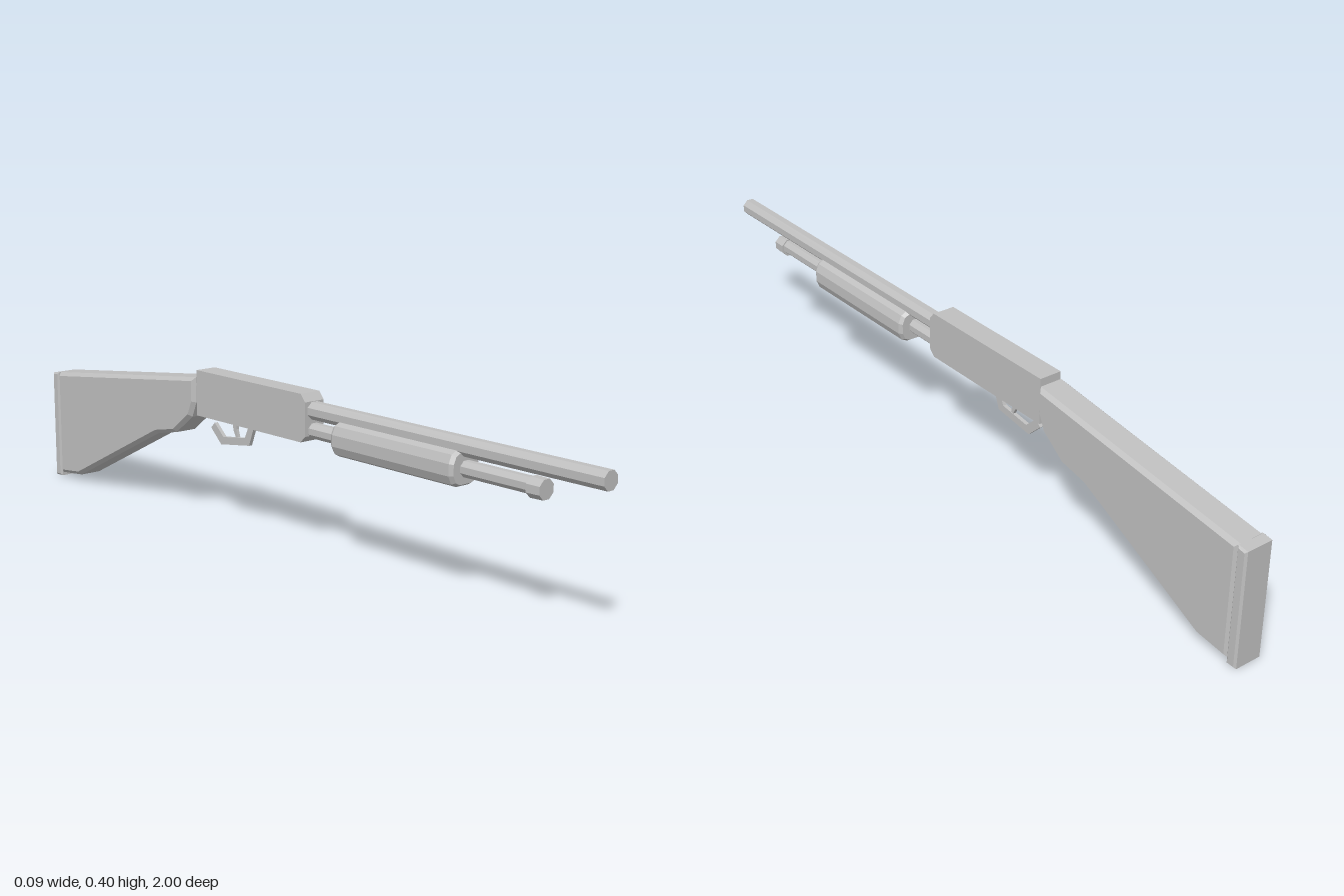
import * as THREE from 'three';

const grey = new THREE.MeshStandardMaterial({ color: 0xbfbfbf, flatShading: true });
grey.name = 'plain grey';

function mesh(name, geometry) {
  const m = new THREE.Mesh(geometry, grey);
  m.name = name;
  return m;
}

// Side profile of [z, y] points, extruded across x and centred, with an optional chamfer
function sidePlate(name, points, width, bevel = 0) {
  const shape = new THREE.Shape(points.map(([z, y]) => new THREE.Vector2(z, y)));
  const depth = width - 2 * bevel;
  const g = new THREE.ExtrudeGeometry(shape, {
    depth, bevelEnabled: bevel > 0, bevelThickness: bevel, bevelSize: bevel,
    bevelOffset: -bevel, bevelSegments: 1,
  });
  g.translate(0, 0, -depth / 2);
  g.rotateY(-Math.PI / 2);
  return mesh(name, g);
}

// Octagonal rod along z, flat side up; sizes are half-widths across the flats
function rod(name, y, z0, z1, half0, half1 = half0) {
  const k = 1 / Math.cos(Math.PI / 8);
  const g = new THREE.CylinderGeometry(half1 * k, half0 * k, z1 - z0, 8);
  g.rotateY(Math.PI / 8);
  g.rotateX(Math.PI / 2);
  g.translate(0, y, (z0 + z1) / 2);
  return mesh(name, g);
}

export function createModel() {
  const model = new THREE.Group();
  model.name = 'model';

  // Barrel and the tube beneath it
  model.add(
    rod('barrel', 0.362, 0.08, 1, 0.0215),
    rod('lowerTube', 0.312, 0.08, 0.81, 0.0185),
    rod('tubeCap', 0.31, 0.795, 0.832, 0.0235, 0.0225),
  );

  // Sliding grip: faceted cross-section with chamfered ends
  const half = [[0.02, 0.271], [0.036, 0.279], [0.045, 0.299], [0.045, 0.327], [0.036, 0.347], [0.02, 0.355]];
  const section = [...half, ...half.map(([x, y]) => [-x, y]).reverse()];
  const gripShape = new THREE.Shape(section.map(([x, y]) => new THREE.Vector2(x, y)));
  const gripGeometry = new THREE.ExtrudeGeometry(gripShape, {
    depth: 0.38, bevelThickness: 0.01, bevelSize: 0.006, bevelOffset: -0.006, bevelSegments: 1,
  });
  gripGeometry.translate(0, 0, 0.21);
  model.add(mesh('slidingGrip', gripGeometry));

  // Central body with cut front corners
  model.add(sidePlate('body', [
    [-0.33, 0.284], [0.08, 0.284], [0.096, 0.3], [0.096, 0.385], [0.08, 0.404], [-0.33, 0.404],
  ], 0.06));

  // Guard: a thin bent strip, open at the back, with the lever inside
  model.add(sidePlate('guard', [
    [-0.125, 0.29], [-0.145, 0.29], [-0.165, 0.248], [-0.252, 0.236], [-0.288, 0.268],
    [-0.303, 0.253], [-0.262, 0.215], [-0.148, 0.231],
  ], 0.01));
  model.add(sidePlate('lever', [
    [-0.2, 0.29], [-0.216, 0.29], [-0.212, 0.262], [-0.202, 0.243], [-0.194, 0.245], [-0.2, 0.265],
  ], 0.008));

  // Shoulder stock and its end pad
  model.add(sidePlate('stock', [
    [-0.332, 0.385], [-0.332, 0.318], [-0.35, 0.277], [-0.42, 0.224], [-0.5, 0.208],
    [-0.88, 0.02], [-0.974, 0.01], [-0.974, 0.307],
  ], 0.08, 0.01));
  model.add(sidePlate('endPad', [
    [-0.972, 0.001], [-1, 0], [-1, 0.303], [-0.972, 0.307],
  ], 0.08, 0.005));

  return model;
}
